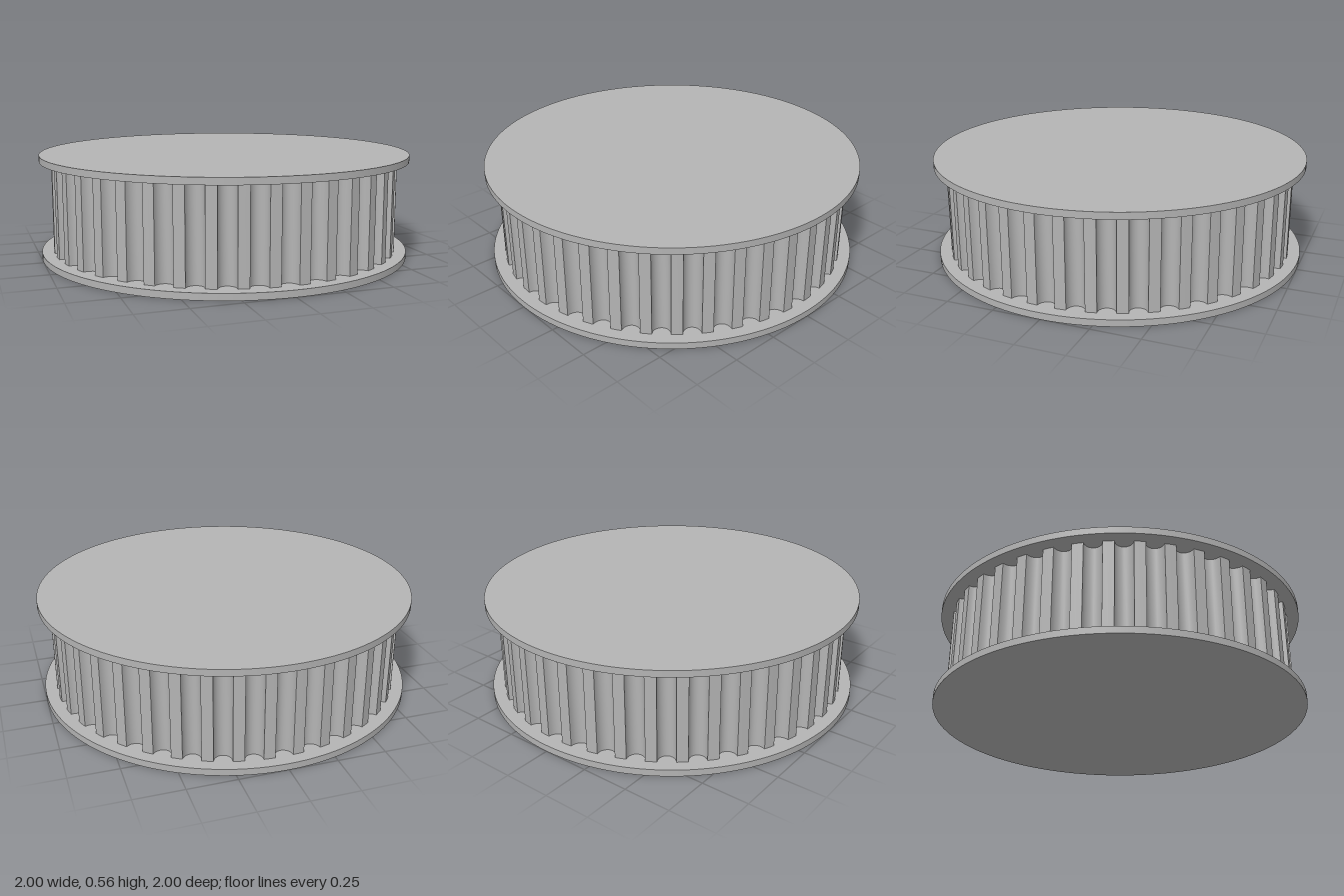
import * as THREE from 'three';
import { toCreasedNormals } from 'three/addons/utils/BufferGeometryUtils.js';

const TEETH = 40;
const RADIUS = 0.937;       // outer radius of the teeth
const HALF_GROOVE = 0.0455; // half the groove width
const DEPTH = 0.052;        // groove depth
const FLANGE = 0.035;       // flange thickness
const HEIGHT = 0.555;

// Outline of the toothed drum: flat lands between rounded grooves
function drumShape() {
  const points = [];
  const pitch = (Math.PI * 2) / TEETH;
  const rim = Math.sqrt(RADIUS ** 2 - HALF_GROOVE ** 2);
  const steps = 10;
  for (let i = 0; i < TEETH; i++) {
    const a = i * pitch;
    for (let j = 0; j <= steps; j++) {
      const t = (j / steps) * Math.PI;
      const across = -HALF_GROOVE * Math.cos(t);
      const out = rim - DEPTH * Math.sin(t);
      points.push(new THREE.Vector2(
        out * Math.cos(a) - across * Math.sin(a),
        out * Math.sin(a) + across * Math.cos(a)
      ));
    }
    // middle of the land
    const m = a + pitch / 2;
    points.push(new THREE.Vector2(RADIUS * Math.cos(m), RADIUS * Math.sin(m)));
  }
  return new THREE.Shape(points);
}

export function createModel() {
  const group = new THREE.Group();
  const metal = new THREE.MeshStandardMaterial({ color: 0xb4b4b4 });
  metal.name = 'grey metal';

  // Toothed drum between the flanges
  const drumGeometry = new THREE.ExtrudeGeometry(drumShape(), {
    depth: HEIGHT - 2 * FLANGE, bevelEnabled: false, steps: 1,
  });
  drumGeometry.rotateX(-Math.PI / 2);
  const drum = new THREE.Mesh(toCreasedNormals(drumGeometry, 0.7), metal);
  drum.name = 'toothedDrum';
  drum.position.y = FLANGE;
  group.add(drum);

  // Flanges below and above
  const flangeGeometry = new THREE.CylinderGeometry(1, 1, FLANGE, 128);
  for (const [name, y] of [['bottomFlange', FLANGE / 2], ['topFlange', HEIGHT - FLANGE / 2]]) {
    const flange = new THREE.Mesh(flangeGeometry, metal);
    flange.name = name;
    flange.position.y = y;
    group.add(flange);
  }
  return group;
}
